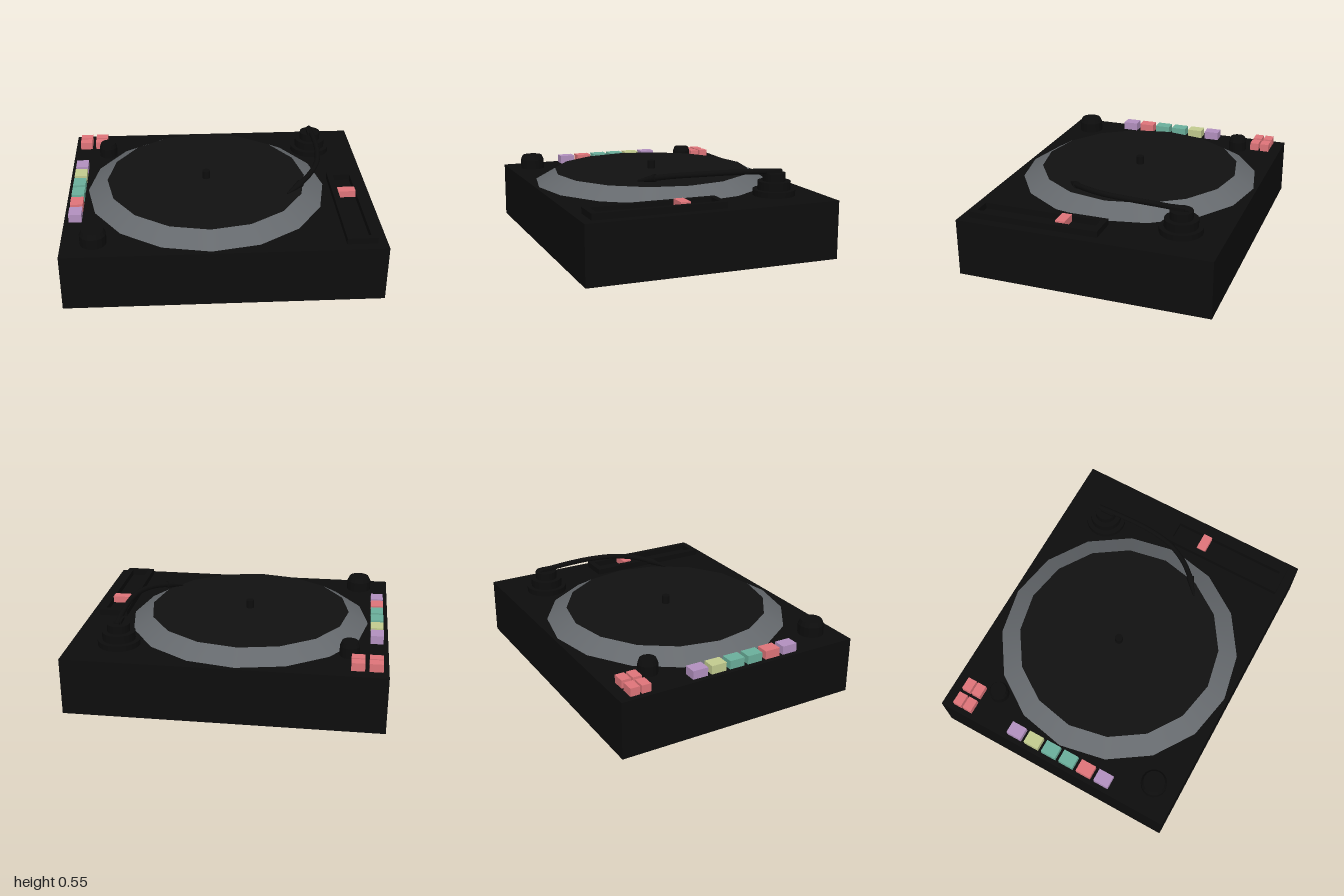
import * as THREE from 'three';

const mat = (name, color) => {
  const m = new THREE.MeshStandardMaterial({ color });
  m.name = name;
  return m;
};

export function createModel() {
  const group = new THREE.Group();
  const black = mat('black casing', 0x0d0d0d);
  const vinyl = mat('record black', 0x111111);
  const grey = mat('platter grey', 0x65696d);
  const red = mat('button red', 0xe0757a);
  const purple = mat('button purple', 0xb391c0);
  const yellow = mat('button yellow', 0xc3cc90);
  const teal = mat('button teal', 0x6bb09c);

  const add = (name, geometry, material, x = 0, y = 0, z = 0) => {
    const m = new THREE.Mesh(geometry, material);
    m.name = name;
    m.position.set(x, y, z);
    group.add(m);
    return m;
  };
  // boxes and cylinders placed by their bottom height
  const box = (name, material, w, h, d, x, y, z) =>
    add(name, new THREE.BoxGeometry(w, h, d), material, x, y + h / 2, z);
  const drum = (name, material, rTop, rBottom, h, sides, x, y, z) =>
    add(name, new THREE.CylinderGeometry(rTop, rBottom, h, sides), material, x, y + h / 2, z);

  const deck = 0.37;
  box('body', black, 2, deck, 1.63, 0, 0, 0);

  // platter: sloped rim, record and spindle
  const px = -0.08;
  add('platterRim', new THREE.CylinderGeometry(0.66, 0.79, 0.075, 16, 1, true), grey, px, deck + 0.0375, 0);
  const record = add('record', new THREE.CircleGeometry(0.66, 16), vinyl, px, 0.445, 0);
  record.rotation.x = -Math.PI / 2;
  drum('spindle', black, 0.026, 0.026, 0.055, 12, px, 0.443, 0);

  // pad buttons along the left edge of the deck
  [purple, yellow, teal, teal, red, purple].forEach((m, i) =>
    box('padButton', m, 0.082, 0.055, 0.102, -0.928, deck, -0.28 + i * 0.128));

  // four buttons in the back corner
  for (const x of [-0.924, -0.815])
    for (const z of [-0.709, -0.636])
      box('cornerButton', red, 0.083, 0.052, 0.06, x, deck, z);

  // knobs with bevelled tops
  const knob = (r, x, z) => {
    const pts = [[r, 0], [r, 0.065], [r * 0.82, 0.095], [0, 0.095]].map(p => new THREE.Vector2(...p));
    const g = new THREE.LatheGeometry(pts, 16).toNonIndexed();
    g.computeVertexNormals();
    add('knob', g, black, x, deck, z);
  };
  knob(0.083, -0.8, 0.652);
  knob(0.062, -0.76, -0.515);

  // pitch slider: open frame and its handle
  const frame = new THREE.Shape();
  frame.moveTo(-0.095, -0.422).lineTo(0.095, -0.422).lineTo(0.095, 0.422).lineTo(-0.095, 0.422).closePath();
  const slot = new THREE.Path();
  slot.moveTo(-0.057, -0.385).lineTo(-0.057, 0.385).lineTo(0.057, 0.385).lineTo(0.057, -0.385).closePath();
  frame.holes.push(slot);
  const rail = add('sliderFrame', new THREE.ExtrudeGeometry(frame, { depth: 0.04, bevelEnabled: false }),
    black, 0.843, deck, 0.333);
  rail.rotation.x = -Math.PI / 2;
  box('sliderHandle', red, 0.114, 0.045, 0.062, 0.842, 0.376, 0.165);

  // stepped tonearm base
  const ax = 0.69, az = -0.53;
  drum('armBaseLower', black, 0.135, 0.135, 0.037, 20, ax, deck, az);
  drum('armBaseMiddle', black, 0.105, 0.105, 0.055, 20, ax, 0.405, az);
  drum('armBaseUpper', black, 0.072, 0.072, 0.052, 16, ax, 0.459, az);
  box('armPivot', black, 0.05, 0.025, 0.09, ax, 0.505, -0.51);

  // curved tonearm
  const path = new THREE.CatmullRomCurve3([
    [0.69, 0.515, -0.58], [0.695, 0.527, -0.4], [0.693, 0.533, -0.2],
    [0.665, 0.53, -0.02], [0.6, 0.518, 0.12], [0.52, 0.497, 0.22],
  ].map(p => new THREE.Vector3(...p)));
  add('tonearm', new THREE.TubeGeometry(path, 20, 0.018, 8), black);

  // pointed headshell at the end of the arm
  const from = new THREE.Vector3(0.53, 0.5, 0.208), to = new THREE.Vector3(0.432, 0.47, 0.29);
  const dir = to.clone().sub(from);
  const head = add('headshell', new THREE.CylinderGeometry(0.005, 0.026, dir.length(), 8), black);
  head.position.copy(from).add(to).multiplyScalar(0.5);
  head.quaternion.setFromUnitVectors(new THREE.Vector3(0, 1, 0), dir.normalize());

  return group;
}
